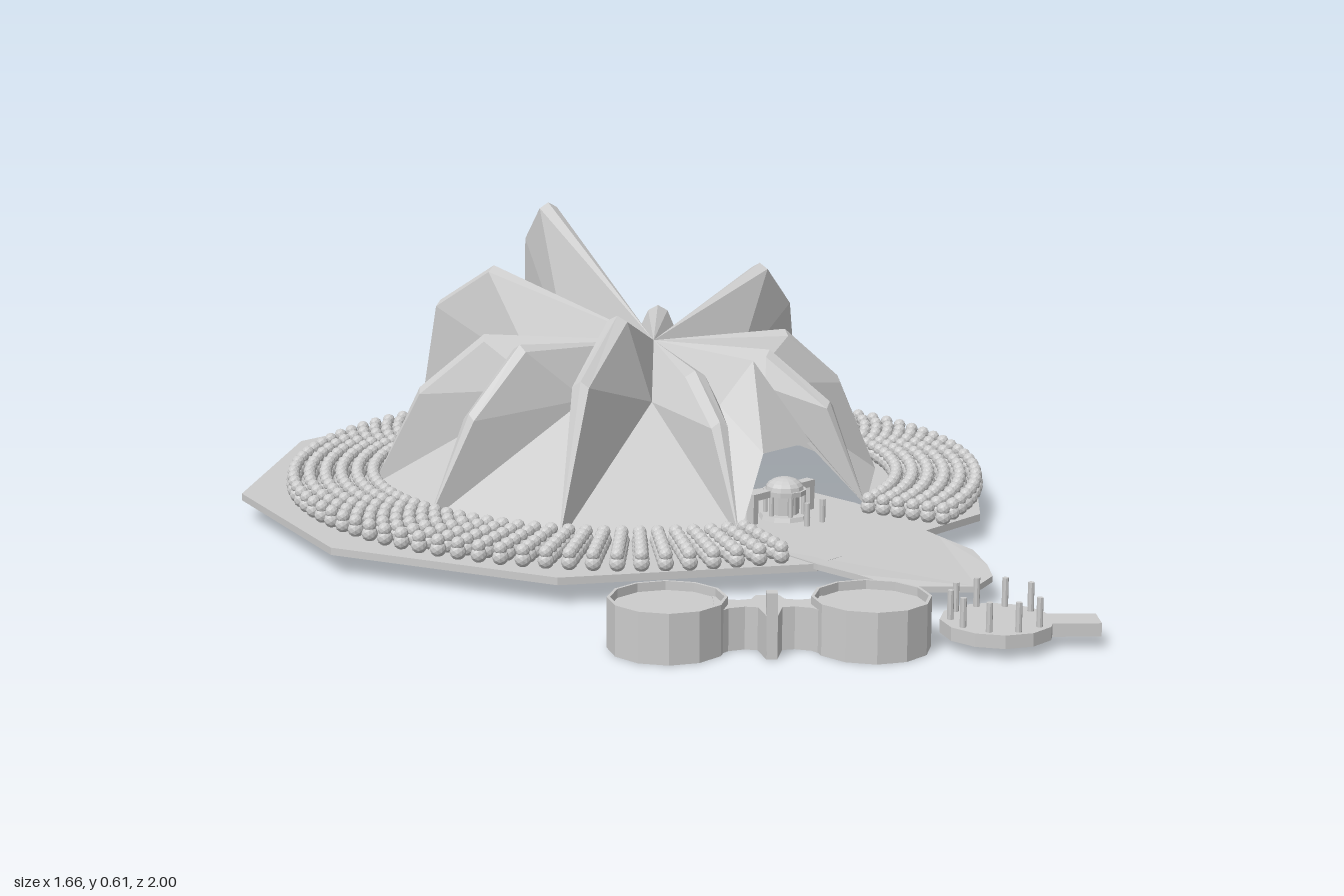
import * as THREE from 'three';
import { mergeGeometries } from 'three/addons/utils/BufferGeometryUtils.js';

const grey = new THREE.MeshStandardMaterial({ color: 0xcccccc, flatShading: true });
const thin = new THREE.MeshStandardMaterial({ color: 0xcccccc, flatShading: true, side: THREE.DoubleSide });

// Mountain ridges: [foot x, foot z, peak fraction, peak height, shoulder fraction, shoulder height]
const centre = [0.05, 0.37, -0.13];
const ridges = [
  [0.49, 0.07, 0.55, 0.37, 0.83, 0.27],
  [0.21, 0.335, 0.5, 0.35, 0.78, 0.27],
  [-0.15, 0.37, 0.4, 0.46, 0.78, 0.36],
  [-0.42, 0.21, 0.6, 0.40, 0.82, 0.27],
  [-0.555, -0.125, 0.6, 0.385, 0.83, 0.27],
  [-0.485, -0.45, 0.65, 0.50, 0.88, 0.41],
  [-0.245, -0.67, 0.78, 0.61, 0.91, 0.53],
  [0.08, -0.71, 0.6, 0.385, 0.85, 0.27],
  [0.40, -0.55, 0.7, 0.49, 0.87, 0.40],
  [0.545, -0.26, 0.58, 0.38, 0.82, 0.27],
];

function add(parent, name, geometry, x = 0, y = 0, z = 0, material = grey) {
  const mesh = new THREE.Mesh(geometry, material);
  mesh.name = name;
  mesh.position.set(x, y, z);
  parent.add(mesh);
}

// Horizontal slab from an [x, z] outline, its top at y = 0
function slab(points, depth, hole) {
  const toVectors = (list) => list.map(([x, z]) => new THREE.Vector2(x, z));
  const shape = new THREE.Shape(toVectors(points));
  if (hole) shape.holes.push(new THREE.Path(toVectors(hole)));
  return new THREE.ExtrudeGeometry(shape, { depth, bevelEnabled: false }).rotateX(Math.PI / 2);
}

function post(r, h, x, y, z) {
  return new THREE.CylinderGeometry(r, r, h, 8).translate(x, y + h / 2, z);
}

// Star-shaped mountain: blunt ridges from the centre, valleys between, a canopy over the entrance
function mountainGeometry() {
  const [cx, , cz] = centre;
  const pos = [];
  const tri = (a, b, c) => pos.push(...a, ...b, ...c);
  const point = ([x, z], f, y, side = 0) => {
    const len = Math.hypot(x - cx, z - cz);
    return [cx + (x - cx) * f - (z - cz) / len * side, y, cz + (z - cz) * f + (x - cx) / len * side];
  };
  // One half of a ridge, from its crest down to the valley point
  const flank = (r, valley, s) => {
    const crest = [centre, point(r, r[2], r[3]), point(r, r[4], r[5]), point(r, 1, 0.055)];
    const edge = [centre, point(r, r[2], r[3] - 0.012, s * 0.022), point(r, r[4], r[5] - 0.012, s * 0.018), crest[3]];
    const face = (a, b, c) => (s > 0 ? tri(a, b, c) : tri(a, c, b));
    for (let k = 0; k < 3; k++) {
      face(crest[k], edge[k + 1], crest[k + 1]);
      face(crest[k], edge[k], edge[k + 1]);
      face(edge[k], valley, edge[k + 1]);
    }
    return crest[3];
  };
  ridges.forEach((r, i) => {
    const next = ridges[(i + 1) % ridges.length];
    if (i === 0) {
      const apex = [0.25, 0.37, 0.1];
      const valleyA = [0.28, 0.3, 0.03], valleyB = [0.18, 0.28, 0.12];
      const lintelA = [0.37, 0.2, 0.11], lintelB = [0.265, 0.2, 0.215];
      const footA = flank(r, valleyA, 1), footB = flank(next, valleyB, -1);
      tri(centre, apex, valleyA);
      tri(centre, valleyB, apex);
      tri(apex, lintelA, valleyA);
      tri(valleyA, lintelA, footA);
      tri(apex, valleyB, lintelB);
      tri(valleyB, footB, lintelB);
      tri(apex, lintelB, lintelA);
    } else {
      const valley = point([(r[0] + next[0]) / 2, (r[1] + next[1]) / 2], 0.44, 0.28);
      const footA = flank(r, valley, 1), footB = flank(next, valley, -1);
      tri(valley, footB, footA);
    }
  });
  const g = new THREE.BufferGeometry();
  g.setAttribute('position', new THREE.Float32BufferAttribute(pos, 3));
  g.computeVertexNormals();
  return g;
}

// Rings of small two-tier trees with a gap at the entrance
function treesGeometry() {
  const parts = [];
  const tree = mergeGeometries([
    new THREE.IcosahedronGeometry(0.0165, 1).translate(0, 0.069, 0),
    new THREE.IcosahedronGeometry(0.014, 1).translate(0, 0.086, 0),
  ]);
  const count = 100, rows = 6;
  for (let i = 0; i < count; i++) {
    const a = (i / count) * Math.PI * 2, deg = (i / count) * 360;
    if (deg > 33 && deg < 67) continue;
    for (let row = 0; row < rows; row++) {
      const r = 0.567 + row * 0.034;
      parts.push(tree.clone().translate(0.01 + Math.cos(a) * r, 0, -0.165 + Math.sin(a) * r));
    }
  }
  return mergeGeometries(parts);
}

function shrine() {
  const g = new THREE.Group();
  g.name = 'shrine';
  add(g, 'shrineFoundation', new THREE.BoxGeometry(0.1, 0.03, 0.1), 0, 0.035, 0);
  add(g, 'shrineBase', new THREE.CylinderGeometry(0.05, 0.055, 0.012, 10), 0, 0.06, 0);
  add(g, 'shrineDrum', new THREE.CylinderGeometry(0.03, 0.03, 0.045, 10), 0, 0.086, 0);
  add(g, 'shrineEave', new THREE.CylinderGeometry(0.045, 0.045, 0.01, 12), 0, 0.112, 0);
  add(g, 'shrineDome', new THREE.SphereGeometry(0.04, 12, 5, 0, Math.PI * 2, 0, Math.PI / 2).scale(1, 0.62, 1), 0, 0.117, 0);
  const columns = [];
  for (let i = 0; i < 6; i++) {
    const a = (i / 6) * Math.PI * 2;
    columns.push(post(0.005, 0.045, Math.cos(a) * 0.04, 0.064, Math.sin(a) * 0.04));
  }
  add(g, 'shrineColumns', mergeGeometries(columns));
  for (const s of [-1, 1]) {
    add(g, 'gateLintel', new THREE.BoxGeometry(0.05, 0.014, 0.022), s * 0.07, 0.113, -0.01);
    add(g, 'gatePost', new THREE.BoxGeometry(0.014, 0.055, 0.02), s * 0.088, 0.08, -0.01);
    add(g, 'frontPost', post(0.006, 0.055, s * 0.024, 0.05, 0.082));
  }
  g.position.set(0.312, 0, 0.175);
  g.rotation.y = Math.PI / 4;
  return g;
}

// Two round basins joined by a waisted neck with a tongue and a standing post
function basins() {
  const g = new THREE.Group();
  g.name = 'twinBasins';
  const r = 0.109;
  const profile = [[0, 0], [r, 0], [r, 0.095], [r - 0.006, 0.095], [r - 0.006, 0.078], [0, 0.078]]
    .map(([x, y]) => new THREE.Vector2(x, y));
  for (const s of [-1, 1]) add(g, 'basin', new THREE.LatheGeometry(profile, 12), s * 0.184, 0, 0.89);
  const right = [[0.022, 0.832], [0.03, 0.855], [0.055, 0.862], [0.08, 0.855], [0.1, 0.835],
    [0.1, 0.945], [0.075, 0.915], [0.045, 0.905], [0.022, 0.91], [0.01, 0.965]];
  const left = right.map(([x, z]) => [-x, z]).reverse();
  add(g, 'neck', slab([...right, ...left], 0.08), 0, 0.08, 0);
  add(g, 'standingPost', new THREE.BoxGeometry(0.02, 0.122, 0.022), 0, 0.061, 0.955);
  g.position.x = 0.234;
  return g;
}

// Round pad with a ring of posts and a short walkway
function pad() {
  const g = new THREE.Group();
  g.name = 'postCircle';
  add(g, 'padDisc', new THREE.CylinderGeometry(0.104, 0.104, 0.025, 12), 0, 0.033, 0);
  add(g, 'padWalkway', new THREE.BoxGeometry(0.1, 0.025, 0.062), 0.135, 0.033, 0);
  const posts = [];
  for (let i = 1; i <= 9; i++) {
    const a = (i / 10) * Math.PI * 2;
    posts.push(post(0.006, 0.06, Math.cos(a) * 0.085, 0.04, Math.sin(a) * 0.085));
  }
  add(g, 'padPosts', mergeGeometries(posts));
  g.position.set(0.648, 0, 0.873);
  return g;
}

export function createModel() {
  const model = new THREE.Group();
  model.name = 'mountainSanctuary';

  // Ten-sided ground ring, open along the foot of the mountain
  const rim = [[0.08, -1], [0.53, -0.79], [0.775, -0.35], [0.72, 0.15], [0.35, 0.53],
    [-0.15, 0.62], [-0.6, 0.395], [-0.83, -0.05], [-0.755, -0.55], [-0.41, -0.91]];
  const feet = ridges.map(([x, z]) => [x, z]);
  add(model, 'groundRing', slab(rim, 0.015, feet), 0, 0.055, 0);

  // Forecourt reaching under the entrance, with a sloping lip
  const court = slab([[0.0, 0.09], [0.33, -0.1], [0.47, 0.06], [0.53, 0.16], [0.61, 0.33], [0.665, 0.44],
    [0.677, 0.55], [0.677, 0.62], [0.64, 0.67], [0.49, 0.67], [0.42, 0.61], [0.35, 0.54], [0.26, 0.42],
    [0.2, 0.33]], 0.012);
  const p = court.attributes.position;
  for (let i = 0; i < p.count; i++) {
    if (p.getZ(i) > 0.6) p.setY(i, p.getY(i) - (p.getZ(i) - 0.6) * 0.12);
  }
  court.computeVertexNormals();
  add(model, 'forecourt', court, 0, 0.057, 0);

  add(model, 'mountain', mountainGeometry(), 0, 0, 0, thin);
  add(model, 'trees', treesGeometry());
  model.add(shrine(), basins(), pad());
  return model;
}
